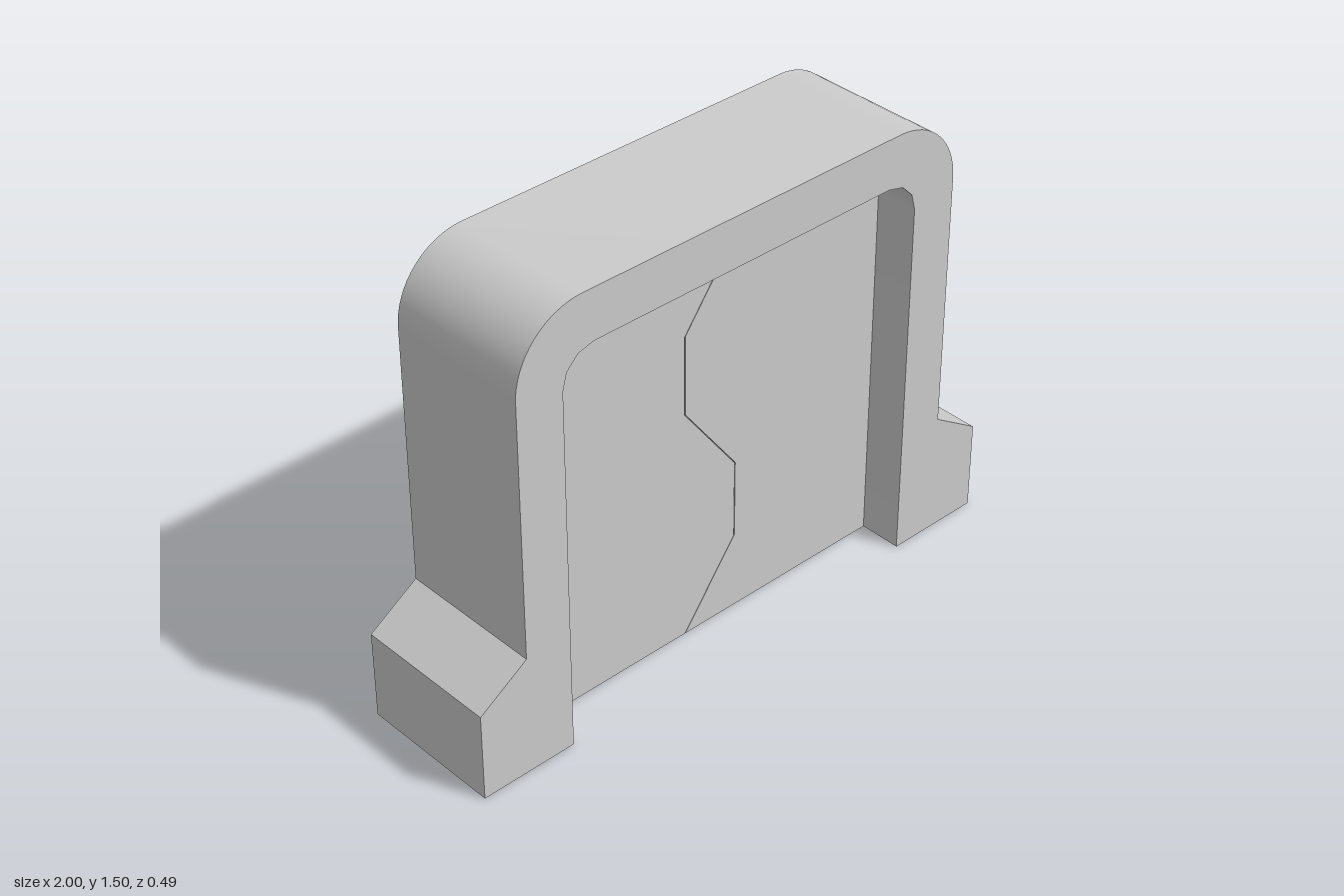
import * as THREE from 'three';
import { toCreasedNormals } from 'three/addons/utils/BufferGeometryUtils.js';

const FRAME_DEPTH = 0.486, PANEL_DEPTH = 0.2;
const INNER_X = 0.67, INNER_TOP = 1.34, SEAM_GAP = 0.003;

// Quarter arc from the vertical side (x = w) to the top edge (y = top)
function corner(w, top, r, segments) {
  const points = [];
  for (let i = 0; i <= segments; i++) {
    const a = (i / segments) * Math.PI / 2;
    points.push([w - r + r * Math.cos(a), top - r + r * Math.sin(a)]);
  }
  return points;
}

const mirror = (points) => points.map(([x, y]) => [-x, y]).reverse();

// Extrude an outline, centred on z = 0, smooth only across the rounded corners
function slab(name, points, depth, material) {
  const shape = new THREE.Shape(points.map(([x, y]) => new THREE.Vector2(x, y)));
  const geometry = new THREE.ExtrudeGeometry(shape, { depth, bevelEnabled: false });
  geometry.translate(0, 0, -depth / 2);
  const mesh = new THREE.Mesh(toCreasedNormals(geometry, 0.56), material);
  mesh.name = name;
  return mesh;
}

export function createModel() {
  const model = new THREE.Group();
  model.name = 'framedPanel';
  const material = new THREE.MeshStandardMaterial({ color: 0xcccccc });

  // Arch-shaped frame with sloped feet, open at the bottom
  const outer = [[1, 0], [1, 0.3], [0.83, 0.41], ...corner(0.83, 1.505, 0.235, 16)];
  const inner = [[INNER_X, 0], ...corner(INNER_X, INNER_TOP, 0.11, 3)];
  const frameOutline = [...outer, ...mirror(outer), ...[...inner, ...mirror(inner)].reverse()];
  model.add(slab('frame', frameOutline, FRAME_DEPTH, material));

  // Recessed panel in two halves that meet along a zigzag seam
  const seam = [0.1, -0.1, -0.1, 0.1, 0.1, -0.1].map((x, i) => [x, INNER_TOP * (1 - i / 5)]);
  const shifted = (d) => seam.map(([x, y]) => [x + d, y]);
  model.add(slab('leftPanel', [...inner, ...shifted(SEAM_GAP / 2)], PANEL_DEPTH, material));
  model.add(slab('rightPanel', [...mirror(inner), ...shifted(-SEAM_GAP / 2).reverse()], PANEL_DEPTH, material));

  return model;
}
